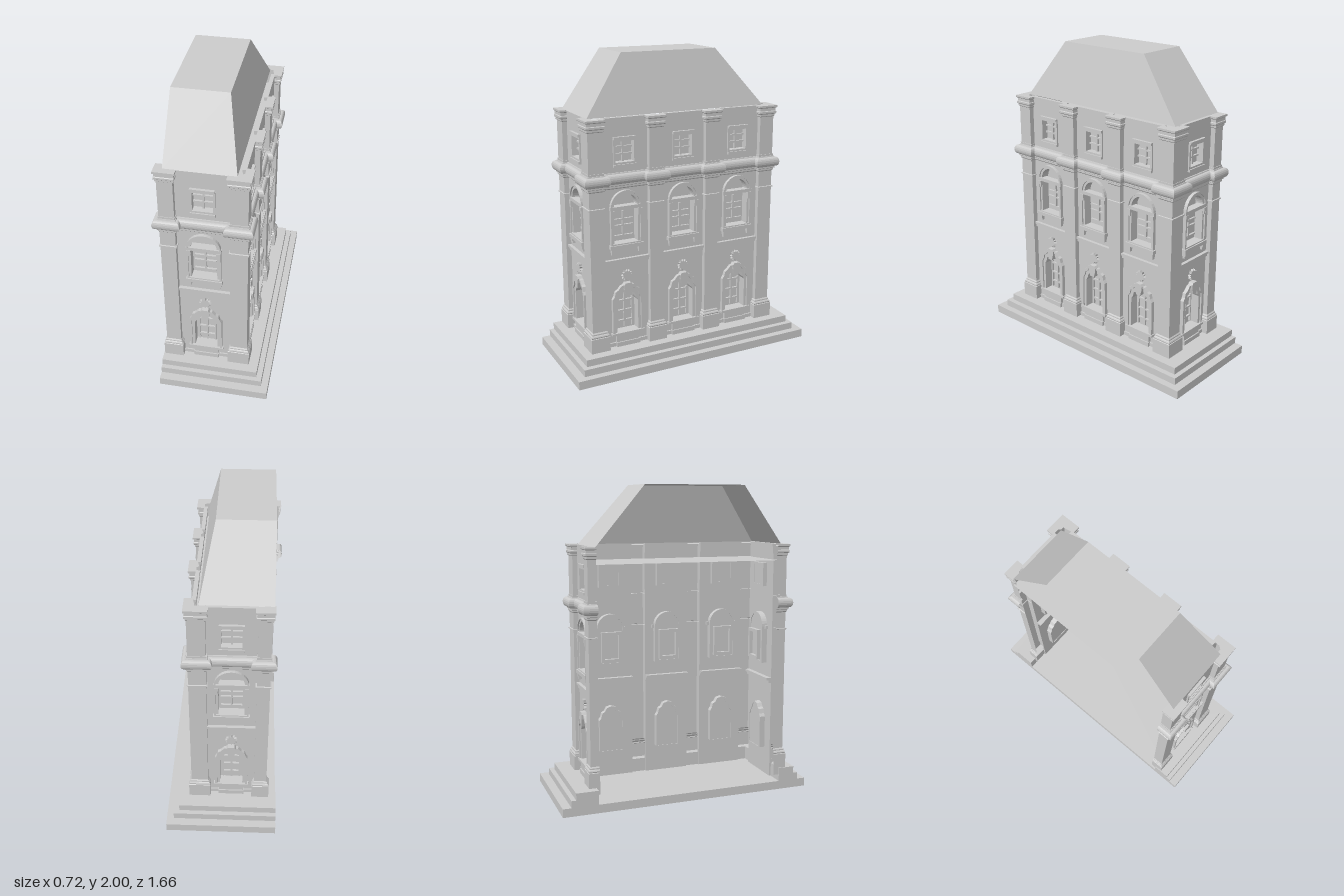
import * as THREE from 'three';

const mat = new THREE.MeshStandardMaterial({ color: 0xcccccc, flatShading: true, side: THREE.DoubleSide });

// Plan of the three outer walls (x, z), front left round to back left
const PLAN = [
  [-0.333, 0.6], [-0.333, 0.67], [-0.238, 0.67], [-0.238, 0.637],
  [0.09, 0.637], [0.09, 0.67], [0.198, 0.67], [0.198, 0.575], [0.165, 0.575],
  [0.165, 0.267], [0.198, 0.267], [0.198, 0.172], [0.165, 0.172],
  [0.165, -0.13], [0.198, -0.13], [0.198, -0.225], [0.165, -0.225],
  [0.165, -0.535], [0.198, -0.535], [0.198, -0.635], [0.09, -0.635], [0.09, -0.603],
  [-0.21, -0.603], [-0.21, -0.635], [-0.29, -0.635], [-0.29, -0.58],
];
const PILASTERS = [[0, 3], [4, 8], [9, 12], [13, 16], [17, 21], [22, 25]];
const BAYS = [[3, 4], [8, 9], [12, 13], [16, 17], [21, 22]];

function add(parent, name, geometry, x = 0, y = 0, z = 0) {
  const m = new THREE.Mesh(geometry, mat);
  m.name = name;
  m.position.set(x, y, z);
  parent.add(m);
  return m;
}

const box = (parent, name, w, y0, y1, z0, z1, x = 0) =>
  add(parent, name, new THREE.BoxGeometry(w, y1 - y0, z1 - z0), x, (y0 + y1) / 2, (z0 + z1) / 2);

function quads(list) {
  const pos = [];
  for (const [a, b, c, d] of list) pos.push(...a, ...b, ...c, ...a, ...c, ...d);
  const g = new THREE.BufferGeometry();
  g.setAttribute('position', new THREE.Float32BufferAttribute(pos, 3));
  g.computeVertexNormals();
  return g;
}

// Sweep a profile of [offset, y] along a right-angled path with mitred corners
function sweep(path, profile) {
  const normals = path.slice(1).map(([x, z], i) => {
    const dx = x - path[i][0], dz = z - path[i][1], l = Math.hypot(dx, dz);
    return [-dz / l, dx / l];
  });
  const rows = path.map(([x, z], i) => {
    const a = normals[i - 1] || [0, 0], b = normals[i] || [0, 0];
    return profile.map(([o, y]) => [x + o * (a[0] + b[0]), y, z + o * (a[1] + b[1])]);
  });
  const list = [];
  for (let i = 0; i < rows.length - 1; i++)
    for (let j = 0; j < profile.length - 1; j++)
      list.push([rows[i][j], rows[i + 1][j], rows[i + 1][j + 1], rows[i][j + 1]]);
  return quads(list);
}

// Closed outline from its right half, bottom to top
const mirrored = (half) => [...half, ...half.filter(([x]) => x > 0).reverse().map(([x, y]) => [-x, y])];
const toPath = (pts, Type = THREE.Shape) => new Type(pts.map(([x, y]) => new THREE.Vector2(x, y)));
const extrude = (shape, depth) => new THREE.ExtrudeGeometry(shape, { depth, bevelEnabled: false });

function ring(outer, inner, depth) {
  const s = toPath(outer);
  s.holes.push(toPath(inner, THREE.Path));
  return extrude(s, depth);
}

function arch(r, y0, spring) {
  const half = [[r, y0]];
  for (let i = 0; i <= 8; i++) {
    const a = (i / 8) * Math.PI / 2;
    half.push([i === 8 ? 0 : r * Math.cos(a), spring + r * Math.sin(a)]);
  }
  return mirrored(half);
}

const shouldered = (d) => mirrored([
  [0.073 + d, 0.24 - d * 0.2], [0.073 + d, 0.44 + d], [0.06 + d, 0.46 + d], [0.052 + d, 0.49 + d],
  [0.034 + d, 0.5 + d], [0.025 + d * 0.6, 0.525 + d], [0, 0.535 + d]]);
const square = (x, y0, y1) => mirrored([[x, y0], [x, y1]]);

function sun(r) {
  const pts = [];
  for (let i = 0; i < 24; i++) {
    const a = (i / 24) * Math.PI * 2, k = i % 2 ? r * 0.68 : r;
    pts.push([k * Math.sin(a), k * Math.cos(a)]);
  }
  return extrude(toPath(pts), 0.018);
}

// Reveal, pane and glazing bars set back behind an opening
function recess(g, name, opening, outer, depth, w, y0, y1, bars) {
  add(g, name + 'Reveal', ring(outer, opening, depth), 0, 0, -depth);
  add(g, name + 'Pane', new THREE.ShapeGeometry(toPath(opening)), 0, 0, -depth + 0.004);
  const z0 = -depth + 0.004, z1 = z0 + 0.014;
  box(g, name + 'Mullion', 0.012, y0, y1, z0, z1);
  for (const y of bars) box(g, name + 'GlazingBar', w, y - 0.005, y + 0.005, z0, z1);
}

function createBay(width) {
  const g = new THREE.Group();
  g.name = 'bay';
  const door = shouldered(0), tall = arch(0.08, 0.84, 1.075), attic = square(0.062, 1.355, 1.485);

  const wall = toPath(square(width / 2, 0.055, 1.63));
  for (const o of [door, tall, attic]) wall.holes.push(toPath(o, THREE.Path));
  add(g, 'wallPanel', extrude(wall, 0.012), 0, 0, -0.012);

  // Ground floor opening
  recess(g, 'groundWindow', door, shouldered(0.012), 0.05, 0.105, 0.25, 0.5, [0.295, 0.365, 0.435]);
  for (const x of [-0.052, 0.052]) box(g, 'groundWindowStile', 0.008, 0.25, 0.45, -0.046, -0.032, x);
  add(g, 'groundWindowFrame', ring(shouldered(0.032), shouldered(0), 0.014));
  add(g, 'groundWindowMoulding', ring(shouldered(0.032), shouldered(0.018), 0.024));
  add(g, 'keystone', extrude(toPath(mirrored([[0.016, 0.495], [0.026, 0.53], [0.03, 0.56], [0.02, 0.575]])), 0.034));
  add(g, 'sunOrnament', sun(0.037), 0, 0.622, 0);
  box(g, 'groundSill', 0.225, 0.225, 0.24, -0.01, 0.03);
  box(g, 'apron', 0.16, 0.145, 0.225, 0, 0.018);
  box(g, 'apronPlinth', 0.165, 0.145, 0.175, 0, 0.026);
  box(g, 'wallPlinth', width, 0.145, 0.17, 0, 0.01);

  // String course, showing on both sides of the wall
  box(g, 'stringCourse', width, 0.722, 0.737, -0.045, 0.022);
  box(g, 'stringCourseLower', width, 0.702, 0.722, -0.03, 0.012);

  // Arched first floor window, with a casing on the inside
  recess(g, 'archedWindow', tall, arch(0.092, 0.828, 1.075), 0.05, 0.135, 0.865, 1.035, [0.873, 0.94, 0.98]);
  add(g, 'archedWindowCasing', ring(square(0.068, 0.85, 1.05), square(0.048, 0.87, 1.03), 0.025), 0, 0, -0.073);
  add(g, 'archFrame', ring(arch(0.105, 0.83, 1.075), arch(0.08, 0.84, 1.075), 0.012));
  add(g, 'archMoulding', ring(arch(0.105, 0.83, 1.075), arch(0.095, 0.84, 1.075), 0.022));
  box(g, 'archTransom', 0.215, 1.058, 1.08, -0.03, 0.022);
  box(g, 'archSill', 0.225, 0.808, 0.832, -0.01, 0.03);
  for (const s of [-1, 1]) {
    box(g, 'archCapital', 0.026, 1.035, 1.058, 0, 0.026, s * 0.092);
    box(g, 'archCapitalNeck', 0.019, 1.012, 1.035, 0, 0.02, s * 0.092);
    box(g, 'sillBracket', 0.026, 0.785, 0.808, 0, 0.025, s * 0.092);
    box(g, 'sillBracketFoot', 0.018, 0.768, 0.785, 0, 0.018, s * 0.092);
  }

  // Small attic window
  recess(g, 'atticWindow', attic, square(0.074, 1.343, 1.497), 0.04, 0.124, 1.355, 1.485, [1.4, 1.445]);
  add(g, 'atticFrame', ring(square(0.075, 1.342, 1.498), attic, 0.01));
  box(g, 'atticHead', 0.148, 1.497, 1.513, 0, 0.018);
  box(g, 'atticSill', 0.15, 1.327, 1.343, 0, 0.018);

  // Wall head, moulded on the inside
  box(g, 'wallHead', width, 1.61, 1.63, -0.022, 0.004);
  box(g, 'wallHeadMoulding', width, 1.565, 1.61, -0.018, 0.002);
  return g;
}

// U-shaped step, open on the left side
function stepGeometry(x, z, h) {
  const l = -0.355;
  const s = toPath([[l, -z], [x, -z], [x, z], [l, z], [l, 0.603], [0.165, 0.603], [0.165, -0.637], [l, -0.637]]);
  return extrude(s, h).rotateX(-Math.PI / 2);
}

export function createModel() {
  const model = new THREE.Group();
  model.name = 'facadeBuilding';

  // Base and steps
  box(model, 'baseSlab', 0.71, 0, 0.055, -0.83, 0.83);
  add(model, 'middleStep', stepGeometry(0.31, 0.775, 0.045), 0, 0.055, 0);
  add(model, 'topStep', stepGeometry(0.275, 0.745, 0.045), 0, 0.1, 0);

  // Pilasters with pedestal, base moulding, neck ring and projecting cap
  const shaft = [[0.016, 0.1], [0.016, 0.24], [0.012, 0.243], [0.014, 0.25], [0.011, 0.257], [0.006, 0.262],
    [0.006, 0.27], [0, 0.278], [0, 1.076], [0.007, 1.078], [0.007, 1.085], [0, 1.087], [0, 1.29],
    [0.004, 1.29], [0.004, 1.305], [0, 1.305], [0, 1.6]];
  const cap = [[0, 1.555], [0.006, 1.56], [0.006, 1.572], [0.013, 1.578], [0.013, 1.59],
    [0.009, 1.594], [0.009, 1.612], [0.017, 1.618], [0.017, 1.63], [-0.046, 1.63]];
  for (const [a, b] of PILASTERS) {
    const path = PLAN.slice(a, b + 1);
    add(model, 'pilaster', sweep(path, shaft));
    add(model, 'pilasterCap', sweep(path, cap));
  }

  // Window bays
  for (const [a, b] of BAYS) {
    const [x0, z0] = PLAN[a], [x1, z1] = PLAN[b];
    const bay = createBay(Math.hypot(x1 - x0, z1 - z0));
    bay.position.set((x0 + x1) / 2, 0, (z0 + z1) / 2);
    bay.rotation.y = Math.atan2(z0 - z1, x1 - x0);
    model.add(bay);
  }

  // Rounded main cornice
  const cornice = [[0, 1.19], [0.007, 1.197], [0.007, 1.208], [0.014, 1.212], [0.014, 1.222]];
  for (let i = 0; i <= 8; i++) {
    const a = (i / 8 - 0.5) * Math.PI;
    cornice.push([0.018 + 0.018 * Math.cos(a), 1.254 + 0.031 * Math.sin(a)]);
  }
  cornice.push([0.01, 1.285], [0.008, 1.292], [-0.012, 1.292]);
  add(model, 'mainCornice', sweep(PLAN, cornice));

  // Hipped roof, cut open on the left
  const e = 1.628, t = 2;
  const A = [-0.3, e, 0.645], B = [0.129, e, 0.645], C = [0.129, e, -0.588], D = [-0.3, e, -0.588];
  const E = [-0.3, t, 0.38], F = [0.044, t, 0.38], G = [0.044, t, -0.275], H = [-0.3, t, -0.275];
  add(model, 'roof', quads([[A, B, F, E], [B, C, G, F], [C, D, H, G], [E, F, G, H]]));

  // Attic floor, set below the eaves
  const c = 1.525;
  add(model, 'atticFloor', quads([[[-0.3, c, 0.637], [0.16, c, 0.637], [0.16, c, -0.6], [-0.3, c, -0.6]]]));
  return model;
}
